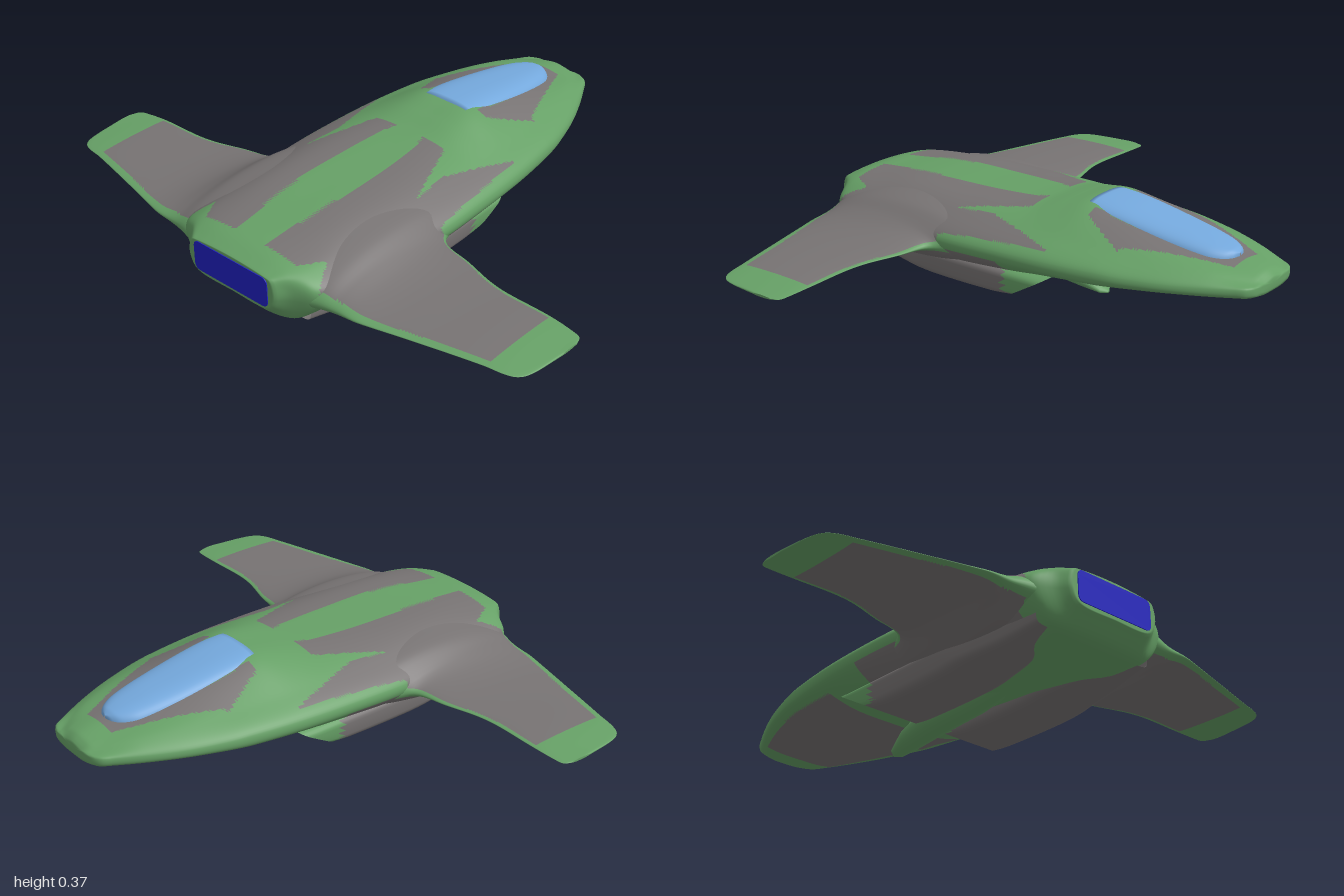
import * as THREE from 'three';

const paint = (color) => new THREE.MeshStandardMaterial({ color, side: THREE.DoubleSide });
const GREEN = paint(0x66a066), GREY = paint(0x777373), GLASS = paint(0x74a8dc), BLUE = paint(0x2020c0), DARK = paint(0x444444);

// Smooth curve through [position, value] pairs
function profile(...pts) {
  const slope = (i) => {
    const a = pts[Math.max(i - 1, 0)], b = pts[Math.min(i + 1, pts.length - 1)];
    return (b[1] - a[1]) / (b[0] - a[0]);
  };
  return (t) => {
    let i = 0;
    while (i < pts.length - 2 && t > pts[i + 1][0]) i++;
    const [x0, y0] = pts[i], [x1, y1] = pts[i + 1], h = x1 - x0;
    const u = THREE.MathUtils.clamp((t - x0) / h, 0, 1), v = 1 - u;
    return y0 * (1 + 2 * u) * v * v + slope(i) * h * u * v * v + y1 * u * u * (3 - 2 * u) - slope(i + 1) * h * u * u * v;
  };
}

// Closed rings of points joined into a smooth skin
function loft(rings) {
  const n = rings[0].length, index = [];
  for (let i = 0; i < rings.length - 1; i++) {
    for (let j = 0; j < n; j++) {
      const k = (j + 1) % n, a = i * n + j, b = i * n + k, c = a + n, d = b + n;
      index.push(a, c, b, b, c, d);
    }
  }
  const geo = new THREE.BufferGeometry().setFromPoints(rings.flat());
  geo.setIndex(index);
  geo.computeVertexNormals();
  return geo;
}

// A ring shrunk to its middle, used to close an end
function shrink(ring, k, dz = 0) {
  const c = ring.reduce((s, p) => s.add(p), new THREE.Vector3()).divideScalar(ring.length);
  return ring.map((p) => p.clone().sub(c).multiplyScalar(k).add(c).add(new THREE.Vector3(0, 0, dz)));
}
const mirrorRings = (rings) => rings.map((r) => r.map((p) => new THREE.Vector3(-p.x, p.y, p.z)).reverse());

function add(group, name, geo, mat) {
  const mesh = new THREE.Mesh(geo, mat);
  mesh.name = name;
  group.add(mesh);
}

// Divides a skin into green hull and grey panels by a rule on face centres
function addPainted(group, name, geo, isGrey) {
  const p = geo.attributes.position, nor = geo.attributes.normal, parts = [[], []], idx = geo.index.array;
  for (let i = 0; i < idx.length; i += 3) {
    const t = [idx[i], idx[i + 1], idx[i + 2]];
    const mean = (f) => (f(t[0]) + f(t[1]) + f(t[2])) / 3;
    const grey = isGrey(Math.abs(mean((v) => p.getX(v))), mean((v) => p.getY(v)), mean((v) => p.getZ(v)), mean((v) => nor.getY(v)));
    parts[grey ? 1 : 0].push(...t);
  }
  parts.forEach((list, k) => {
    const g = geo.clone();
    g.setIndex(list);
    add(group, name + (k ? 'Panels' : 'Skin'), g, k ? GREY : GREEN);
  });
}

// Fuselage profiles along z
const top = profile([-0.845, 0.225], [-0.82, 0.243], [-0.7, 0.268], [-0.5, 0.307], [-0.3, 0.346], [-0.2, 0.361], [-0.1, 0.346], [0, 0.328], [0.2, 0.319], [0.5, 0.313], [0.7, 0.295], [0.78, 0.285], [0.845, 0.264]);
const deck = profile([-0.845, 0.05], [-0.7, 0.08], [-0.5, 0.1], [-0.2, 0.11], [0, 0.14], [0.2, 0.17], [0.5, 0.18], [0.75, 0.16], [0.845, 0.15]);
const shoulder = profile([-0.845, 0.08], [-0.7, 0.15], [-0.5, 0.21], [-0.2, 0.25], [0, 0.26], [0.3, 0.27], [0.6, 0.26], [0.76, 0.24], [0.845, 0.175]);
const shoulderY = profile([-0.845, 0.218], [-0.7, 0.248], [-0.5, 0.265], [-0.2, 0.28], [0, 0.28], [0.3, 0.275], [0.6, 0.267], [0.76, 0.258], [0.845, 0.25]);
const half = profile([-0.845, 0.1], [-0.83, 0.128], [-0.79, 0.153], [-0.7, 0.202], [-0.6, 0.248], [-0.5, 0.283], [-0.4, 0.31], [-0.2, 0.34], [0, 0.354], [0.25, 0.358], [0.5, 0.335], [0.7, 0.315], [0.77, 0.285], [0.81, 0.22], [0.845, 0.188]);
const edge = profile([-0.845, 0.203], [0, 0.2], [0.5, 0.19], [0.845, 0.2]);
const belly = profile([-0.845, 0.177], [-0.82, 0.17], [-0.6, 0.168], [-0.4, 0.155], [-0.2, 0.125], [0, 0.09], [0.3, 0.06], [0.6, 0.052], [0.72, 0.058], [0.79, 0.075], [0.845, 0.13]);
const bellyWidth = profile([-0.845, 0.65], [0.7, 0.65], [0.845, 0.86]);

function bodyRing(z) {
  const W = half(z), E = edge(z), T = top(z), B = belly(z), rim = Math.min(0.02, (E - B) * 0.4);
  const right = [[deck(z), T - 0.008], [shoulder(z), shoulderY(z)], [W, E + rim], [W, E - rim], [W * bellyWidth(z), B + 0.12 * (E - B)]];
  const outline = [[0, T], ...right, [0, B], ...right.map(([x, y]) => [-x, y]).reverse()];
  const curve = new THREE.CatmullRomCurve3(outline.map(([x, y]) => new THREE.Vector3(x, y, z)), true);
  return Array.from({ length: 120 }, (_, j) => curve.getPoint(j / 120));
}

const lerp = THREE.MathUtils.mapLinear;
function bodyGrey(x, y, z, ny) {
  if (y < edge(z) - 0.02) {
    if (z < -0.2) return z > -0.76 && x < half(z) * 0.87;           // nose underside
    return z > 0 && z < 0.7 && x > 0.12 + Math.max(0, z - 0.4) * 0.4; // flanks below the wing
  }
  if (z < -0.2) {                                                   // canopy surround
    if (z < -0.4) return z > -0.745 && x < lerp(z, -0.745, -0.4, 0.07, 0.212);
    return x < lerp(z, -0.4, -0.23, 0.225, 0.15) && x > 0.11 && z < -0.23;
  }
  if (z > 0.755) return false;
  const stripe = lerp(Math.abs(z - 0.3), 0, 0.45, 0.098, 0.07);
  const tail = z > 0.67 && Math.abs(x - 0.25) < (z - 0.67) * 0.55;
  if (z > 0.25) return x > stripe && !tail;
  const inner = z > 0 && x > stripe - 0.02 * Math.max(0, 1 - z / 0.1) && x < lerp(z, 0, 0.25, 0.155, 0.25);
  const outerFrom = z < 0.1 ? lerp(z, -0.18, 0.1, 0.31, 0.235) : lerp(z, 0.1, 0.25, 0.235, 0.25);
  return inner || (z > -0.18 && x > outerFrom && x < lerp(z, -0.18, 0.22, 0.315, 0.35));
}

// Wing profiles along x
const lead = profile([0.2, 0.05], [0.3, 0.1], [0.345, 0.18], [0.365, 0.235], [0.4, 0.268], [0.5, 0.29], [0.62, 0.325], [0.7, 0.336], [0.86, 0.337], [0.96, 0.345], [0.99, 0.355], [1, 0.38]);
const trail = profile([0.2, 0.8], [0.3, 0.772], [0.36, 0.76], [0.44, 0.755], [0.5, 0.742], [0.62, 0.712], [0.86, 0.654], [0.94, 0.637], [0.975, 0.61], [0.99, 0.56], [1, 0.46]);
const wingTop = profile([0.2, 0.3], [0.3, 0.276], [0.36, 0.24], [0.42, 0.215], [0.5, 0.199], [0.62, 0.191], [0.86, 0.183], [1, 0.17]);
const wingLow = profile([0.2, 0.07], [0.3, 0.1], [0.36, 0.127], [0.42, 0.149], [0.5, 0.162], [0.62, 0.168], [0.86, 0.167], [1, 0.162]);

function wingRing(x) {
  const a = lead(x), b = trail(x), yt = wingTop(x), yl = wingLow(x), mid = THREE.MathUtils.lerp(yl, yt, 0.45);
  return Array.from({ length: 80 }, (_, j) => {
    const t = (j / 80) * Math.PI * 2, s = Math.sin(t);
    const y = mid + (s > 0 ? yt - mid : mid - yl) * s;
    return new THREE.Vector3(x, y, (a + b) / 2 + ((b - a) / 2) * Math.cos(t));
  });
}
const wingGrey = (x, y, z) => x < 0.87 && z > lead(x) + 0.012 && z < trail(x) - 0.025 && bodyGrey(Math.min(x, 0.34), 0.22, Math.max(z, 0.26));

// Belly intake nacelle: raked mouth, recessed duct, fading aft
function intakeRings() {
  const low = profile([-0.08, 0.035], [0, 0.024], [0.3, 0.024], [0.45, 0.038], [0.6, 0.05], [0.75, 0.075]);
  const ring = (z, rake) => Array.from({ length: 40 }, (_, j) => {
    const t = (j / 40) * Math.PI * 2, pow = (v) => Math.sign(v) * Math.abs(v) ** 0.5;
    const yb = low(z), cy = (yb + 0.135) / 2, y = cy + ((0.135 - yb) / 2) * pow(Math.cos(t));
    const w = 0.117 + (y - 0.03) * 0.1 - Math.max(0, z - 0.4) * 0.15;
    return new THREE.Vector3(0.178 + w * pow(Math.sin(t)), y, z - rake * (y - 0.08));
  });
  const outer = [];
  for (let i = 0; i <= 24; i++) outer.push(ring(lerp(i, 0, 24, -0.07, 0.75), 1.7 * (1 - i / 24)));
  const mouth = outer[0];
  return { outer, duct: [shrink(mouth, 0.01, 0.13), shrink(mouth, 0.8, 0.13), shrink(mouth, 0.9), mouth] };
}

export function createModel() {
  const model = new THREE.Group();
  model.name = 'spacecraft';

  // Fuselage
  const body = [];
  for (let i = 0; i <= 200; i++) body.push(bodyRing(lerp(i, 0, 200, -0.845, 0.845)));
  body.unshift(shrink(body[0], 0.01, -0.003), shrink(body[0], 0.7, -0.003));
  body.push(shrink(body.at(-1), 0.96, 0.002), shrink(body.at(-1), 0.01, 0.002));
  addPainted(model, 'fuselage', loft(body), bodyGrey);

  // Wings
  const wing = [];
  for (let i = 0; i <= 100; i++) wing.push(wingRing(0.2 + 0.8 * Math.sin((i / 100) * Math.PI / 2)));
  wing.push(shrink(wing.at(-1), 0.01));
  addPainted(model, 'leftWing', loft(wing), wingGrey);
  addPainted(model, 'rightWing', loft(mirrorRings(wing)), wingGrey);

  // Canopy
  const glassHalf = profile([-0.722, 0.004], [-0.715, 0.035], [-0.69, 0.067], [-0.64, 0.092], [-0.5, 0.112], [-0.3, 0.12], [-0.19, 0.116]);
  const glassTop = profile([-0.722, 0.275], [-0.7, 0.288], [-0.6, 0.31], [-0.5, 0.327], [-0.4, 0.344], [-0.3, 0.359], [-0.2, 0.368], [-0.19, 0.367]);
  const glass = [];
  for (let i = 0; i <= 50; i++) {
    const z = -0.19 - 0.532 * Math.sin((i / 50) * Math.PI / 2), base = top(z) - 0.045;
    glass.unshift(Array.from({ length: 48 }, (_, j) => {
      const t = (j / 48) * Math.PI * 2, c = Math.cos(t), s = Math.sin(t);
      return new THREE.Vector3(glassHalf(z) * Math.sign(s) * Math.abs(s) ** 0.75, base + (c > 0 ? (glassTop(z) - base) * c ** 0.6 : 0.01 * c), z);
    }));
  }
  glass.push(shrink(glass.at(-1), 0.01));
  add(model, 'canopy', loft(glass), GLASS);

  // Belly intakes
  const { outer, duct } = intakeRings();
  [['left', (r) => r], ['right', mirrorRings]].forEach(([side, place]) => {
    addPainted(model, side + 'Intake', loft(place(outer)), (x, y, z) => z > 0.02 || y < 0.05);
    add(model, side + 'IntakeDuct', loft(place(duct)), DARK);
  });

  // Pointed splitter between the intakes: z, half width, low y, high y
  const splitter = [[-0.206, 0.006, 0.004, 0.012], [-0.19, 0.03, 0.002, 0.025], [-0.12, 0.052, 0.009, 0.075], [0, 0.065, 0.022, 0.12], [0.2, 0.065, 0.035, 0.13], [0.4, 0.05, 0.065, 0.13]]
    .map(([z, w, lo, hi]) => Array.from({ length: 24 }, (_, j) => {
      const t = (j / 24) * Math.PI * 2;
      return new THREE.Vector3(w * Math.sin(t), (lo + hi) / 2 + ((hi - lo) / 2) * Math.cos(t), z);
    }));
  add(model, 'intakeSplitter', loft([shrink(splitter[0], 0.01), ...splitter]), GREEN);

  // Engine exhaust
  const x = 0.163, lo = 0.143, hi = 0.253, r = 0.025, slot = new THREE.Shape();
  slot.moveTo(-x + r, lo).lineTo(x - r, lo).quadraticCurveTo(x, lo, x, lo + r).lineTo(x, hi - r).quadraticCurveTo(x, hi, x - r, hi);
  slot.lineTo(-x + r, hi).quadraticCurveTo(-x, hi, -x, hi - r).lineTo(-x, lo + r).quadraticCurveTo(-x, lo, -x + r, lo);
  add(model, 'exhaust', new THREE.ExtrudeGeometry(slot, { depth: 0.01, bevelEnabled: false }).translate(0, 0, 0.84), BLUE);
  return model;
}
